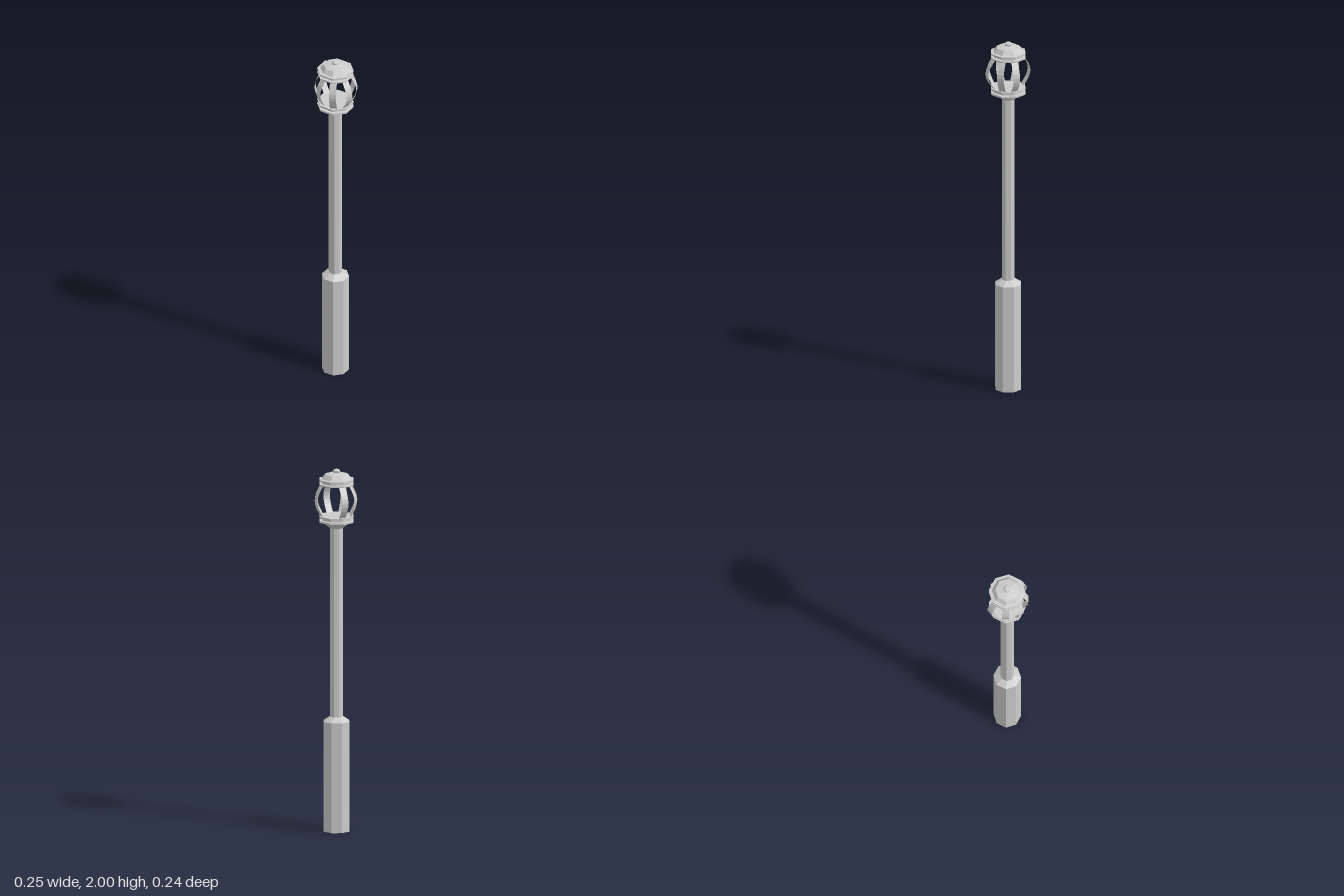
import * as THREE from 'three';

const material = new THREE.MeshStandardMaterial({
  color: 0xcccccc, flatShading: true, side: THREE.DoubleSide,
});

// Eight-sided turned part from [radius, height] pairs, bottom to top
function turned(name, profile) {
  const points = profile.map(([r, y]) => new THREE.Vector2(r, y));
  const mesh = new THREE.Mesh(new THREE.LatheGeometry(points, 8), material);
  mesh.name = name;
  return mesh;
}

// Thin curved strip bulging outward along +z
function ribGeometry(bulge) {
  const bottom = 1.74, top = 1.92, endRadius = 0.08;
  const geometry = new THREE.PlaneGeometry(0.038, 1, 1, 8);
  const pos = geometry.attributes.position;
  for (let i = 0; i < pos.count; i++) {
    const t = pos.getY(i) + 0.5;
    const arc = Math.sin(Math.PI * t);
    pos.setY(i, bottom + (top - bottom) * t);
    pos.setZ(i, endRadius + (bulge - endRadius) * arc);
  }
  geometry.computeVertexNormals();
  return geometry;
}

export function createModel() {
  const lamp = new THREE.Group();
  lamp.name = 'streetLamp';

  // Open-bottomed base with a sloped shoulder, and the slender pole
  lamp.add(turned('base', [[0.075, 0], [0.075, 0.607], [0.037, 0.633]]));
  lamp.add(turned('pole', [[0.037, 0.633], [0.037, 1.677]]));

  // Lantern cup with two projecting rims and a flat floor
  lamp.add(turned('lanternCup', [
    [0.037, 1.677], [0.077, 1.708], [0.1, 1.71], [0.1, 1.72], [0.083, 1.722],
    [0.083, 1.733], [0.1, 1.735], [0.1, 1.745], [0, 1.745],
  ]));

  // Lantern roof with matching rims and a stepped, shallow cap
  lamp.add(turned('lanternRoof', [
    [0, 1.915], [0.1, 1.915], [0.1, 1.923], [0.083, 1.925], [0.083, 1.936],
    [0.1, 1.938], [0.1, 1.947], [0.083, 1.949], [0.065, 1.973], [0.014, 1.982],
  ]));

  // Knob on top
  lamp.add(turned('finial', [
    [0.013, 1.98], [0.0195, 1.986], [0.0195, 1.994], [0.013, 2], [0, 2],
  ]));

  // Seven ribs around the lantern; the back right corner stays open
  const ribs = new THREE.Group();
  ribs.name = 'lanternRibs';
  for (let i = 0; i < 8; i++) {
    if (i === 5) continue;
    const bulge = i % 2 ? 0.115 : i % 4 ? 0.125 : 0.118;
    const rib = new THREE.Mesh(ribGeometry(bulge), material);
    rib.name = 'rib';
    rib.rotation.y = (i * Math.PI) / 4;
    ribs.add(rib);
  }
  lamp.add(ribs);

  // The turned parts sit slightly off the rib cage's centre
  for (const part of lamp.children) {
    if (part !== ribs) part.position.set(-0.002, 0, 0.002);
  }
  return lamp;
}
